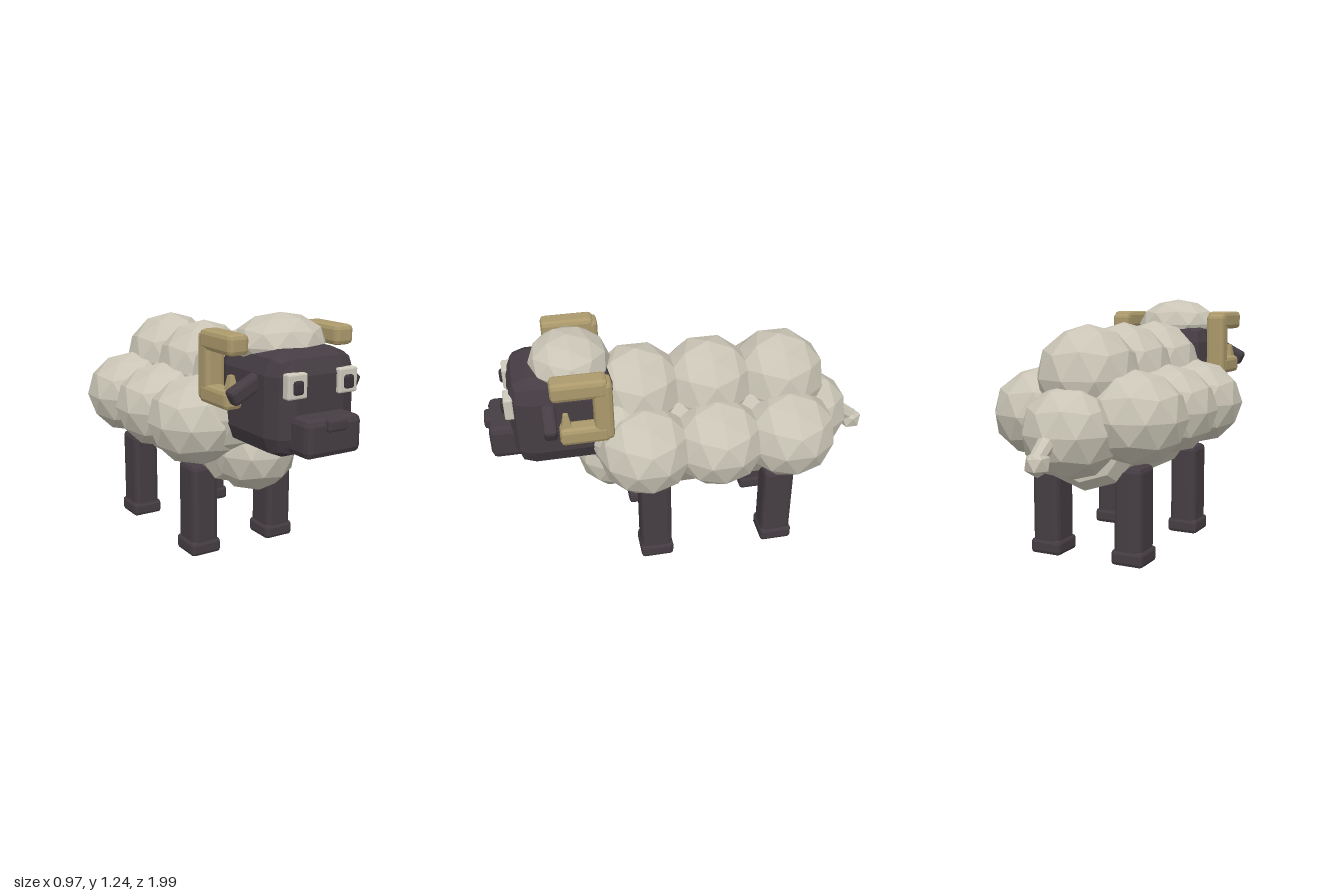
import * as THREE from 'three';
import { RoundedBoxGeometry } from 'three/addons/geometries/RoundedBoxGeometry.js';

const mat = (name, color) => {
  const m = new THREE.MeshStandardMaterial({ color, flatShading: true });
  m.name = name;
  return m;
};

export function createModel() {
  const model = new THREE.Group();
  model.name = 'sheep';
  const wool = mat('wool', 0xc9c4b5);
  const hide = mat('dark hide', 0x453d43);
  const horn = mat('horn', 0xac9a6c);
  const eyeWhite = mat('eye white', 0xcfcabd);
  const pupilDark = mat('pupil', 0x3a343a);

  const add = (name, geometry, material, x, y, z, parent = model) => {
    const mesh = new THREE.Mesh(geometry, material);
    mesh.name = name;
    mesh.position.set(x, y, z);
    parent.add(mesh);
    return mesh;
  };

  // Faceted ball with one vertex pointing straight up
  const puff = (name, x, y, z, rx, ry = rx, rz = rx, detail = 1) => {
    const g = new THREE.IcosahedronGeometry(1, detail);
    g.rotateZ(Math.atan(2 / (1 + Math.sqrt(5)))).rotateY(Math.PI).scale(rx, ry, rz);
    return add(name, g, wool, x, y, z);
  };

  // Bevelled block given by its limits
  const block = (name, material, [x0, x1], [y0, y1], [z0, z1], bevel, parent = model) =>
    add(name, new RoundedBoxGeometry(x1 - x0, y1 - y0, z1 - z0, 1, bevel), material,
      (x0 + x1) / 2, (y0 + y1) / 2, (z0 + z1) / 2, parent);

  // Body core: ten-sided barrel along z
  const profile = [[0, -0.46], [0.25, -0.46], [0.3, -0.41], [0.3, 0.41], [0.25, 0.46], [0, 0.46]]
    .map(([r, y]) => new THREE.Vector2(r, y));
  add('body', new THREE.LatheGeometry(profile, 10).rotateX(Math.PI / 2), wool, 0, 0.645, -0.125);

  // Fleece
  for (const z of [0.235, -0.125, -0.49]) {
    puff('backWool', 0, 0.88, z, 0.25);
    for (const s of [-1, 1]) puff('sideWool', s * 0.247, 0.703, z, 0.25, 0.223, 0.243);
  }
  puff('rumpWool', 0, 0.645, -0.65, 0.235, 0.225, 0.24);
  puff('chestWool', 0, 0.55, 0.355, 0.212);
  puff('neckWool', 0, 0.745, 0.335, 0.35, 0.24, 0.21);
  puff('headWool', 0, 1.105, 0.56, 0.227, 0.14, 0.2);

  // Tail
  const tail = add('tail', new THREE.CylinderGeometry(0.035, 0.045, 0.18, 8), wool, 0, 0.605, -0.885);
  tail.rotation.x = -2.2;
  puff('tailTip', 0, 0.545, -0.938, 0.062, 0.062, 0.062, 0);

  // Head, muzzle and nose
  block('head', hide, [-0.228, 0.228], [0.635, 1.11], [0.36, 0.87], 0.1);
  block('muzzle', hide, [-0.148, 0.148], [0.668, 0.843], [0.8, 0.98], 0.03);
  block('nose', hide, [-0.05, 0.05], [0.785, 0.842], [0.94, 1.0], 0.012);

  // Paired parts
  for (const s of [-1, 1]) {
    const span = (a, b) => (s > 0 ? [a, b] : [-b, -a]);
    const side = s > 0 ? 'left' : 'right';

    for (const [pos, z] of [['Front', 0.195], ['Back', -0.46]]) {
      block(`${side}${pos}Leg`, hide, span(0.15, 0.295), [0.03, 0.475], [z - 0.08, z + 0.08], 0.025);
      block(`${side}${pos}Hoof`, hide, span(0.14, 0.305), [0.003, 0.078], [z - 0.086, z + 0.086], 0.018);
    }

    block(`${side}Eye`, eyeWhite, span(0.085, 0.187), [0.918, 1.03], [0.845, 0.89], 0.008);
    block(`${side}Pupil`, pupilDark, span(0.111, 0.161), [0.938, 1.0], [0.87, 0.905], 0.012);

    const ear = add(`${side}Ear`, new RoundedBoxGeometry(0.17, 0.078, 0.065, 1, 0.018), hide,
      s * 0.272, 0.943, 0.688);
    ear.rotation.z = -s * 0.47;

    // Squared spiral horn
    const hornGroup = new THREE.Group();
    hornGroup.name = `${side}Horn`;
    model.add(hornGroup);
    block('hornTop', horn, span(0.237, 0.342), [1.083, 1.178], [0.41, 0.675], 0.022, hornGroup);
    block('hornBack', horn, span(0.239, 0.34), [0.85, 1.162], [0.39, 0.48], 0.02, hornGroup);
    block('hornBottom', horn, span(0.252, 0.342), [0.84, 0.928], [0.41, 0.645], 0.02, hornGroup);
    const tip = new THREE.CylinderGeometry(0.016, 0.048, 0.13, 4).rotateY(Math.PI / 4);
    add('hornTip', tip, horn, s * 0.295, 0.928, 0.612, hornGroup);
  }

  return model;
}
